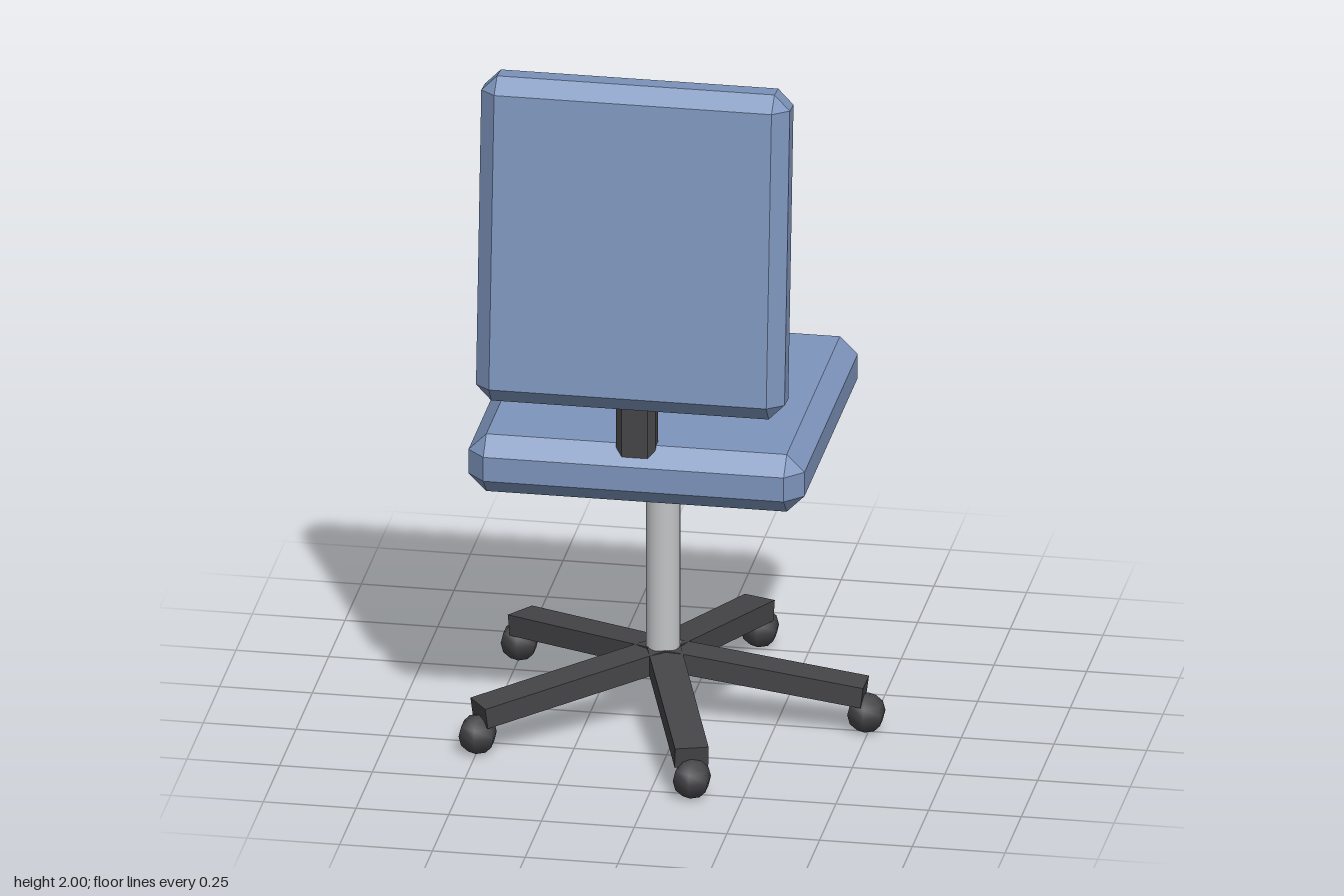
import * as THREE from 'three';
import { ConvexGeometry } from 'three/addons/geometries/ConvexGeometry.js';

// Box with every edge cut by one flat bevel
function bevelBox(w, h, d, b) {
  const pts = [];
  const [x, y, z] = [w / 2, h / 2, d / 2];
  for (const sx of [-1, 1]) for (const sy of [-1, 1]) for (const sz of [-1, 1]) {
    pts.push(new THREE.Vector3(sx * x, sy * (y - b), sz * (z - b)));
    pts.push(new THREE.Vector3(sx * (x - b), sy * y, sz * (z - b)));
    pts.push(new THREE.Vector3(sx * (x - b), sy * (y - b), sz * z));
  }
  return new ConvexGeometry(pts);
}

export function createModel() {
  const mat = (name, color) => {
    const m = new THREE.MeshStandardMaterial({ color });
    m.name = name;
    return m;
  };
  const blue = mat('blue upholstery', 0x7e95bd);
  const dark = mat('dark plastic', 0x454548);
  const metal = mat('light metal', 0xc2c4c6);

  const chair = new THREE.Group();
  chair.name = 'officeChair';
  const add = (parent, name, geometry, material, x, y, z) => {
    const mesh = new THREE.Mesh(geometry, material);
    mesh.name = name;
    mesh.position.set(x, y, z);
    parent.add(mesh);
    return mesh;
  };

  // Everything is centred on the column axis
  const cx = -0.054;

  // Seat, backrest leaning on its strut
  add(chair, 'seat', bevelBox(0.906, 0.165, 0.91, 0.048), blue, cx, 0.878, 0);
  const back = add(chair, 'backrest', bevelBox(0.832, 0.904, 0.142, 0.042), blue, cx, 1.548, 0.434);
  back.rotation.x = -0.098;
  add(chair, 'backStrut', bevelBox(0.106, 0.44, 0.07, 0.018), dark, cx, 1.105, 0.4);

  // Column
  add(chair, 'column', new THREE.CylinderGeometry(0.046, 0.046, 0.59, 24), metal, cx, 0.475, 0);

  // Five sloping arms with casters
  const drop = 0.13, length = 0.552, thick = 0.058;
  const armGeo = new THREE.BoxGeometry(length, thick, 0.09);
  armGeo.translate(length / 2, -thick / 2, 0);
  armGeo.rotateZ(-drop);
  const casterGeo = new THREE.SphereGeometry(0.054, 6, 6);
  casterGeo.rotateY(Math.PI / 2);
  const base = new THREE.Group();
  base.name = 'base';
  base.position.x = cx;
  chair.add(base);
  for (let i = 0; i < 5; i++) {
    const a = (i * Math.PI * 2) / 5;
    add(base, 'arm' + (i + 1), armGeo, dark, 0, 0.215, 0).rotation.y = -a;
    add(base, 'caster' + (i + 1), casterGeo, dark, 0.548 * Math.cos(a), 0.056, 0.548 * Math.sin(a));
  }
  return chair;
}
